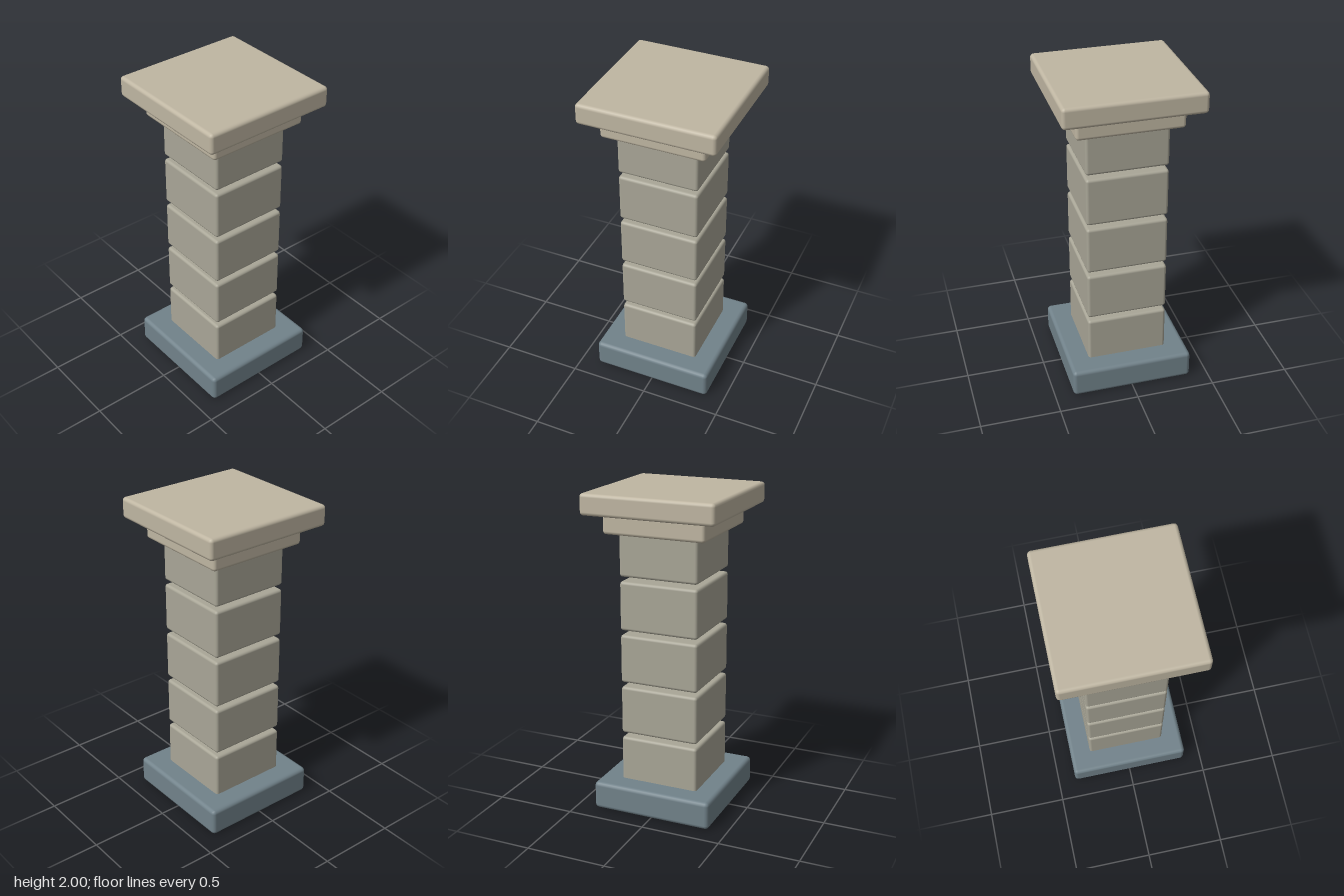
import * as THREE from 'three';
import { RoundedBoxGeometry } from 'three/addons/geometries/RoundedBoxGeometry.js';

export function createModel() {
  const group = new THREE.Group();
  const slate = new THREE.MeshStandardMaterial({ color: 0x71828a });
  const stone = new THREE.MeshStandardMaterial({ color: 0xa9a697 });
  const paleStone = new THREE.MeshStandardMaterial({ color: 0xbfb6a2 });

  // Square slab with softened edges, spanning bottom to top
  function slab(name, width, bottom, top, radius, material) {
    const height = top - bottom;
    const mesh = new THREE.Mesh(new RoundedBoxGeometry(width, height, width, 2, radius), material);
    mesh.name = name;
    mesh.position.y = bottom + height / 2;
    group.add(mesh);
  }

  slab('base', 0.77, 0, 0.177, 0.025, slate);

  // Five separate shaft blocks with open joints between them
  const pitch = 0.3335, blockHeight = 0.305;
  for (let i = 0; i < 5; i++) {
    const bottom = 0.152 + i * pitch;
    slab(`shaftBlock${i + 1}`, 0.504, bottom, bottom + blockHeight, 0.018, stone);
  }

  // Stepped capital
  slab('capitalNeck', 0.645, 1.75, 1.87, 0.02, paleStone);
  slab('capitalTop', 0.84, 1.87, 2, 0.022, paleStone);

  return group;
}
